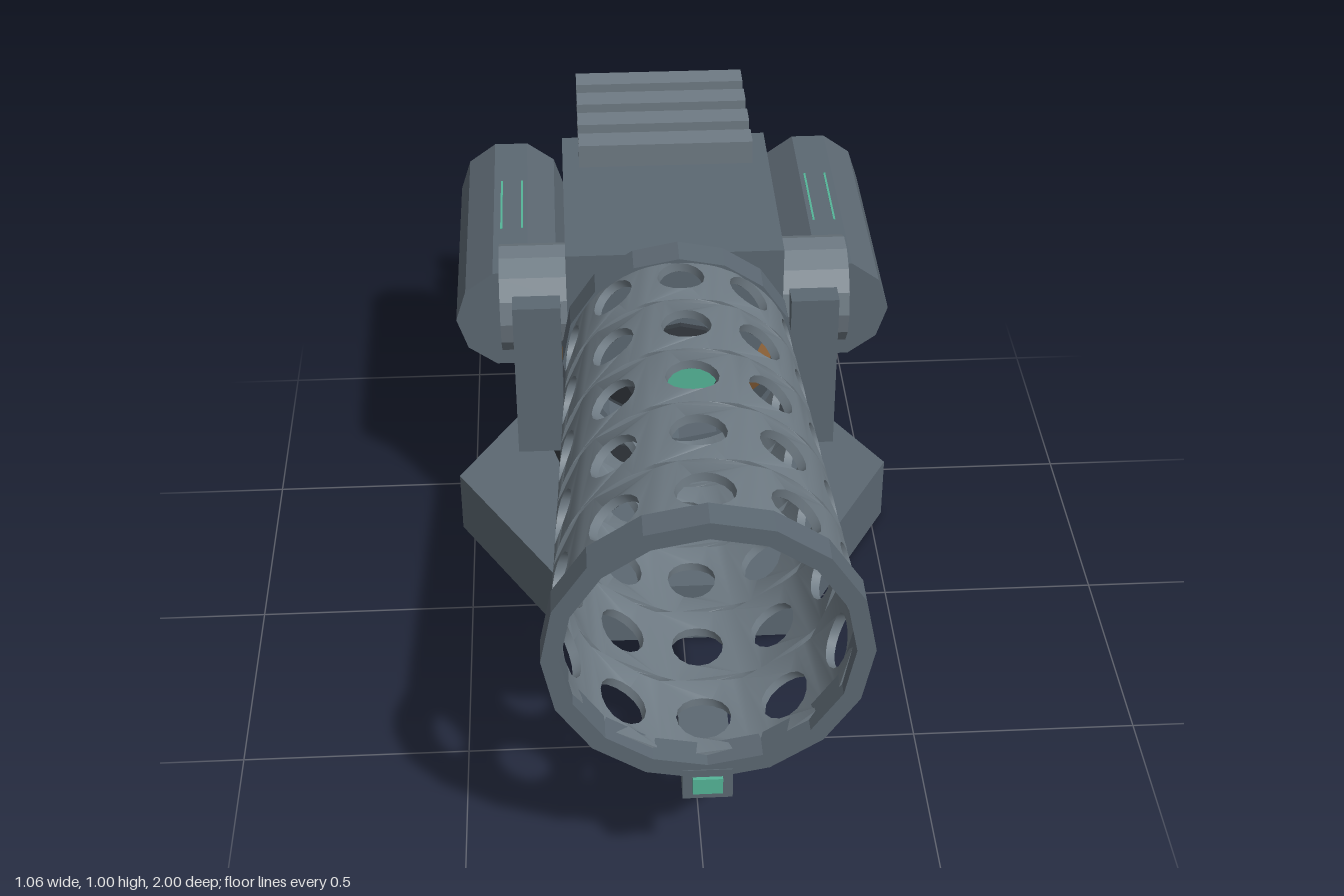
import * as THREE from 'three';
import { mergeGeometries, toCreasedNormals } from 'three/addons/utils/BufferGeometryUtils.js';

const GREY = 0x5c6872, LIGHT = 0x6f7b84, DARK = 0x343a40, TEAL = 0x55b598, BROWN = 0x94683c;
const AXIS_Y = 0.685; // height of the barrel axis
const MID_Z = -0.317; // turning axis of the turret

function add(parent, name, geo, color, x = 0, y = 0, z = 0, flat = true) {
  const mat = new THREE.MeshStandardMaterial({ color, flatShading: flat });
  const m = new THREE.Mesh(geo, mat);
  m.name = name;
  m.position.set(x, y, z);
  parent.add(m);
  return m;
}

// Box given by its limits on each axis
function box(parent, name, color, x0, x1, y0, y1, z0, z1) {
  return add(parent, name, new THREE.BoxGeometry(x1 - x0, y1 - y0, z1 - z0), color,
    (x0 + x1) / 2, (y0 + y1) / 2, (z0 + z1) / 2);
}

// Ring around the z axis
function ringGeo(inner, outer, z0, z1) {
  const p = [[inner, z0], [outer, z0], [outer, z1], [inner, z1], [inner, z0]];
  return new THREE.LatheGeometry(p.map(([r, z]) => new THREE.Vector2(r, z)), 16).rotateX(Math.PI / 2);
}

// Perforated, tapered sleeve: one flat cell with a round hole, bent around the axis
function sleeveGeo() {
  const count = 10, rows = 5, pitch = 0.206, thick = 0.02, steps = 8;
  const half = Math.PI / count;
  const edge = [];
  // Cell corners are trimmed so that narrow slits open between the rows
  for (let i = 0; i <= steps; i++) {
    const t = -1 + (2 * i) / steps;
    edge.push([t * half, pitch / 2 - 0.007 * Math.max(0, (Math.abs(t) - 0.45) / 0.55)]);
  }
  const outline = [
    ...edge.map(([u, v]) => new THREE.Vector2(u, -v)),
    ...edge.slice().reverse().map(([u, v]) => new THREE.Vector2(u, v)),
  ];
  const shape = new THREE.Shape(outline);
  const hole = new THREE.Path();
  hole.absellipse(0, 0, 0.2, 0.056, 0, Math.PI * 2, true);
  shape.holes.push(hole);
  const cell = new THREE.ExtrudeGeometry(shape, { depth: thick, bevelEnabled: false, curveSegments: 8 });

  const cells = [];
  for (let row = 0; row < rows; row++) {
    for (let k = 0; k < count; k++) {
      const g = cell.clone(), p = g.attributes.position;
      for (let i = 0; i < p.count; i++) {
        const a = p.getX(i) + k * 2 * half;
        const z = p.getY(i) + 0.035 + row * pitch;
        const r = 0.256 + 0.05 * z - thick + p.getZ(i);
        p.setXYZ(i, -r * Math.sin(a), r * Math.cos(a), z);
      }
      cells.push(g);
    }
  }
  return toCreasedNormals(mergeGeometries(cells), 0.6);
}

export function createModel() {
  const model = new THREE.Group();
  model.name = 'turret';

  // Hexagonal base and turntable
  add(model, 'base', new THREE.CylinderGeometry(0.53, 0.53, 0.16, 6, 1, false, Math.PI / 2), GREY, 0, 0.08, MID_Z);
  add(model, 'turntable', new THREE.CylinderGeometry(0.315, 0.315, 0.153, 12), DARK, 0, 0.364, MID_Z);
  add(model, 'neck', new THREE.CylinderGeometry(0.175, 0.175, 0.13, 12), DARK, 0, 0.49, MID_Z);

  // Body with cooling fins above and below
  box(model, 'body', GREY, -0.25, 0.25, 0.545, 0.857, -0.765, -0.2);
  for (let i = 0; i < 4; i++) {
    const z = -0.645 - i * 0.107;
    box(model, 'rearFin', LIGHT, -0.21, 0.21, 0.72, 0.915, z - 0.032, z + 0.032);
    const zb = -0.508 - i * 0.079;
    box(model, 'lowerFin', GREY, -0.24, 0.24, 0.43, 0.56, zb - 0.014, zb + 0.014);
  }

  // Barrel
  const barrel = new THREE.Group();
  barrel.name = 'barrel';
  barrel.position.y = AXIS_Y;
  model.add(barrel);
  add(barrel, 'sleeve', sleeveGeo(), LIGHT, 0, 0, 0, false);
  add(barrel, 'muzzleRing', ringGeo(0.283, 0.32, 0.928, 0.99), GREY);
  add(barrel, 'rearRing', ringGeo(0.225, 0.263, -0.1, -0.03), GREY);
  add(barrel, 'rearCollar', ringGeo(0.25, 0.263, -0.03, -0.025), GREY);

  // Emitter disc inside the barrel
  const disc = (r, d) => new THREE.CylinderGeometry(r, r, d, 14).rotateX(Math.PI / 2);
  add(barrel, 'emitterPlate', disc(0.125, 0.015), DARK, 0, 0, 0.025);
  add(barrel, 'emitterLens', disc(0.08, 0.012), TEAL, 0, 0, 0.036);

  // Sight under the muzzle
  box(model, 'sight', GREY, -0.05, 0.05, 0.315, 0.39, 0.8, 0.992);
  box(model, 'sightLens', TEAL, -0.03, 0.03, 0.333, 0.372, 0.985, 1);

  for (const s of [1, -1]) {
    const side = new THREE.Group();
    side.name = s > 0 ? 'leftSide' : 'rightSide';
    model.add(side);

    // Arm, pivot and pod
    add(side, 'arm', new THREE.BoxGeometry(0.11, 0.4, 0.21), GREY, s * 0.32, 0.55, -0.255);
    add(side, 'pivot', new THREE.CylinderGeometry(0.125, 0.125, 0.155, 14).rotateZ(Math.PI / 2), LIGHT,
      s * 0.327, AXIS_Y, -0.31);
    const pod = new THREE.CylinderGeometry(0.132, 0.132, 0.63, 10, 1, false, Math.PI / 2).rotateX(Math.PI / 2);
    add(side, 'pod', pod, GREY, s * 0.38, 0.63, -0.615);
    for (const x of [0.352, 0.402]) {
      add(side, 'podLight', new THREE.BoxGeometry(0.005, 0.02, 0.23), TEAL, s * x, 0.747, -0.62);
    }

    // Strut from the body to the barrel
    const a = new THREE.Vector3(s * 0.18, 0.57, -0.085), b = new THREE.Vector3(s * 0.245, 0.595, -0.22);
    const dir = b.clone().sub(a);
    const strut = add(side, 'strut', new THREE.CylinderGeometry(0.035, 0.03, dir.length(), 4), BROWN);
    strut.position.copy(a).add(b).multiplyScalar(0.5);
    strut.quaternion.setFromUnitVectors(new THREE.Vector3(0, 1, 0), dir.normalize());
  }
  return model;
}
